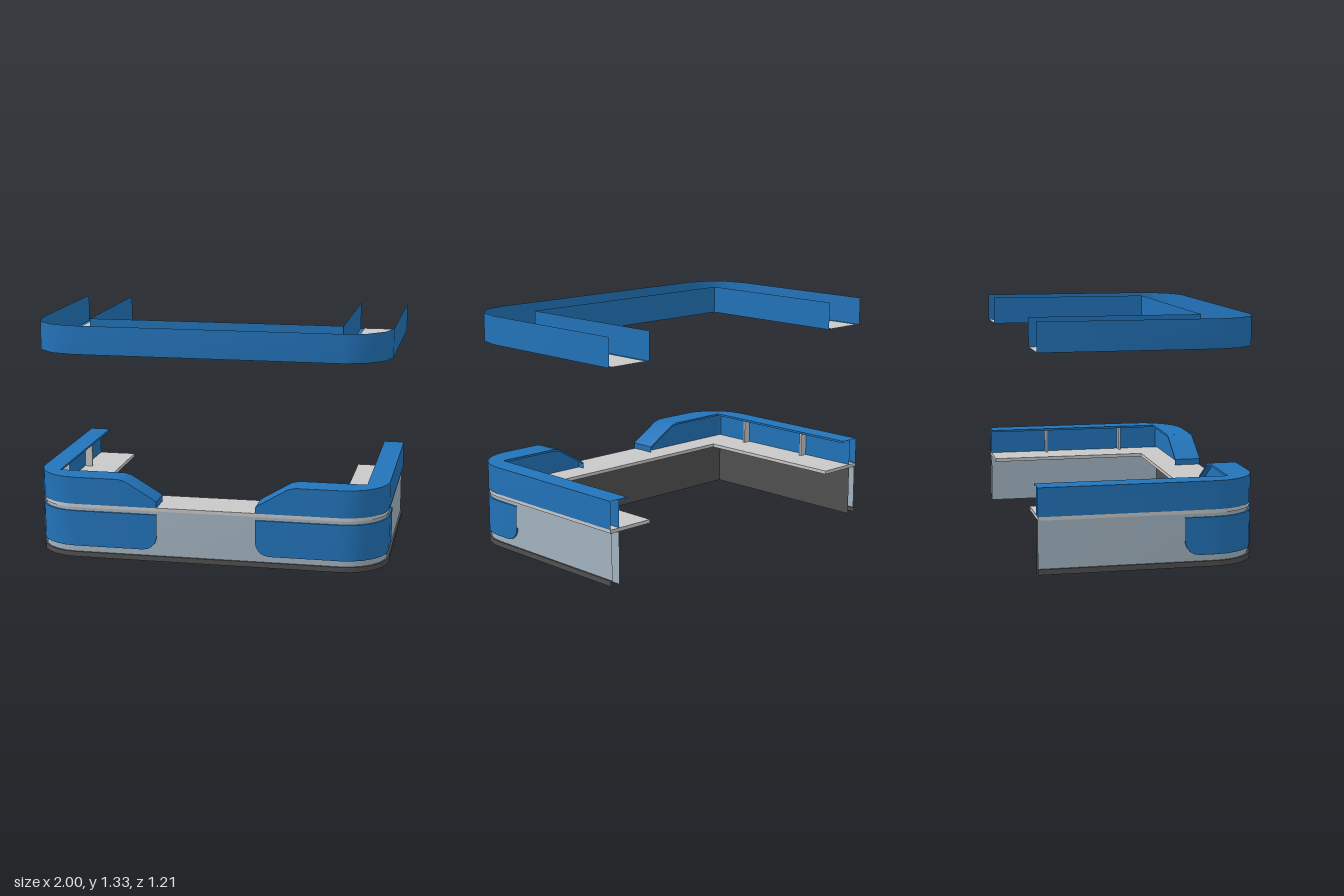
import * as THREE from 'three';
import { toCreasedNormals } from 'three/addons/utils/BufferGeometryUtils.js';

const mat = (name, color) => {
  const m = new THREE.MeshStandardMaterial({ color, side: THREE.DoubleSide });
  m.name = name;
  return m;
};

const BACK = -0.605, FRONT = 0.605, RADIUS = 0.25;

// Corner arc (+x side) from the front run to the side run; d is the inset
function arc(d, n) {
  const pts = [];
  for (let i = 0; i <= n; i++) {
    const a = (i / n) * Math.PI / 2, r = RADIUS - d;
    pts.push([0.75 + r * Math.sin(a), FRONT - RADIUS + r * Math.cos(a)]);
  }
  return pts;
}

// Full U-shaped plan line, from the -x arm round the front to the +x arm
function uPath(d, n) {
  const half = [...arc(d, n), [1 - d, BACK]];
  return [...half.map(([x, z]) => [-x, z]).reverse(), ...half];
}

// Pull plan points in to a square-cornered inner U
const inner = (pts, hx, hz) =>
  pts.map(([x, z]) => [Math.max(-hx, Math.min(hx, x)), Math.min(z, hz)]);

// Lift plan points to a height (number or one value per point)
const lift = (pts, y) =>
  pts.map(([x, z], i) => new THREE.Vector3(x, Array.isArray(y) ? y[i] : y, z));

export function createModel() {
  const model = new THREE.Group();
  model.name = 'receptionCounter';
  const blue = mat('blue', 0x2273b9);
  const pale = mat('paleBlueGrey', 0xa3b4c1);
  const grey = mat('lightGrey', 0xc8c8c8);
  const dark = mat('darkGrey', 0x505050);

  // Surface stretched between two lines with equal point counts
  function sheet(name, material, a, b, parent = model) {
    const pos = [];
    const tri = (p, q, r) => {
      const area = q.clone().sub(p).cross(r.clone().sub(p)).length();
      if (area > 1e-9) [p, q, r].forEach(v => pos.push(v.x, v.y, v.z));
    };
    for (let i = 0; i < a.length - 1; i++) {
      tri(a[i], a[i + 1], b[i + 1]);
      tri(a[i], b[i + 1], b[i]);
    }
    const g = new THREE.BufferGeometry();
    g.setAttribute('position', new THREE.Float32BufferAttribute(pos, 3));
    const mesh = new THREE.Mesh(toCreasedNormals(g, 0.65), material);
    mesh.name = name;
    parent.add(mesh);
  }
  const wall = (name, m, pts, y0, y1, parent) =>
    sheet(name, m, lift(pts, y0), lift(pts, y1), parent);
  const deck = (name, m, p, q, y, parent) =>
    sheet(name, m, lift(p, y), lift(q, y), parent);

  // Overhead canopy: open trough with blue sides and a grey floor
  const canopy = new THREE.Group();
  canopy.name = 'canopy';
  model.add(canopy);
  const rim = uPath(0, 3), rimIn = uPath(0.022, 3);
  const lip = inner(rim, 0.72, 0.335), lipIn = inner(rimIn, 0.742, 0.357);
  wall('canopyOuterFascia', blue, rim, 1.165, 1.325, canopy);
  wall('canopyInnerFascia', blue, lip, 1.165, 1.325, canopy);
  deck('canopyOuterFlange', blue, rim, rimIn, 1.165, canopy);
  deck('canopyInnerFlange', blue, lip, lipIn, 1.165, canopy);
  deck('canopyFloor', grey, rimIn, lipIn, 1.168, canopy);

  // Counter base and front
  const edge = uPath(0, 6), bodyLine = uPath(0.01, 6);
  wall('basePlinth', dark, edge, 0, 0.03);
  deck('plinthTop', dark, edge, uPath(0.015, 6), 0.03);
  wall('counterFront', pale, bodyLine, 0.03, 0.29);

  // Inner back panels, square at the corners
  const IX = 0.94, IZ = 0.49;
  wall('innerBackPanel', dark, [[-IX, BACK], [-IX, IZ], [IX, IZ]], 0, 0.29);
  wall('innerSidePanel', pale, [[IX, IZ], [IX, BACK]], 0, 0.29);

  // Worktop slab
  const topOut = uPath(0.004, 6), topIn = inner(topOut, 0.72, 0.335);
  deck('worktop', grey, topOut, topIn, 0.31);
  deck('worktopUnderside', dark, topOut, topIn, 0.29);
  wall('worktopOuterEdge', grey, topOut, 0.29, 0.31);
  wall('worktopInnerEdge', grey, topIn, 0.29, 0.31);

  for (const s of [-1, 1]) {
    const side = pts => pts.map(([x, z]) => [s * x, z]);

    // Worktop end
    wall('worktopEnd', grey, side([[1, BACK], [0.72, BACK]]), 0.29, 0.31);

    // Lower blue cladding with rounded bottom corners
    const cladLine = d => [
      ...[0.28, 0.283, 0.293, 0.31, 0.33, 0.36].map(x => [x, FRONT - d]),
      ...arc(d, 6),
      ...[0.265, 0.235, 0.215, 0.198, 0.188, 0.185].map(z => [1 - d, z]),
    ];
    const r = 0.08;
    const bottom = cladLine(0).map(([x, z]) => {
      const t = Math.max(0, r - Math.min(x - 0.28, z - 0.185));
      return 0.065 + r - Math.sqrt(Math.max(0, r * r - t * t));
    });
    const clad = side(cladLine(0)), cladBack = side(cladLine(0.01));
    sheet('lowerCladding', blue, lift(clad, bottom), lift(clad, 0.27));
    sheet('claddingBottomEdge', blue, lift(clad, bottom), lift(cladBack, bottom));
    deck('claddingTopEdge', blue, clad, cladBack, 0.27);

    // Raised screen: outer wall, inner wall and sloping ledge
    const ends = [[0.28, 0.31], [0.28, 0.345], [0.3, 0.36], [0.46, 0.455], [0.5, 0.465]];
    const line = [...ends.map(e => [e[0], FRONT]), ...arc(0, 6), [1, BACK]];
    const tops = line.map((_, i) => (i < ends.length ? ends[i][1] : 0.465));
    const outer = side(line);
    const back = inner(outer, IX, IZ), ledge = inner(outer, 0.88, 0.45);
    sheet('screenOuterWall', blue, lift(outer, 0.31), lift(outer, tops));
    sheet('screenInnerWall', blue, lift(back, 0.31), lift(back, tops));
    sheet('screenLedge', blue, lift(outer, tops), lift(ledge, tops));
    sheet('screenLedgeLip', blue, lift(ledge, tops),
      lift(ledge, tops.map(y => Math.max(0.31, y - 0.012))));

    // Ledge supports
    for (const z of [-0.25, 0.23]) {
      const post = new THREE.Mesh(new THREE.BoxGeometry(0.045, 0.153, 0.015), grey);
      post.name = 'ledgeSupport';
      post.position.set(s * 0.916, 0.3865, z);
      model.add(post);
    }
  }
  return model;
}
